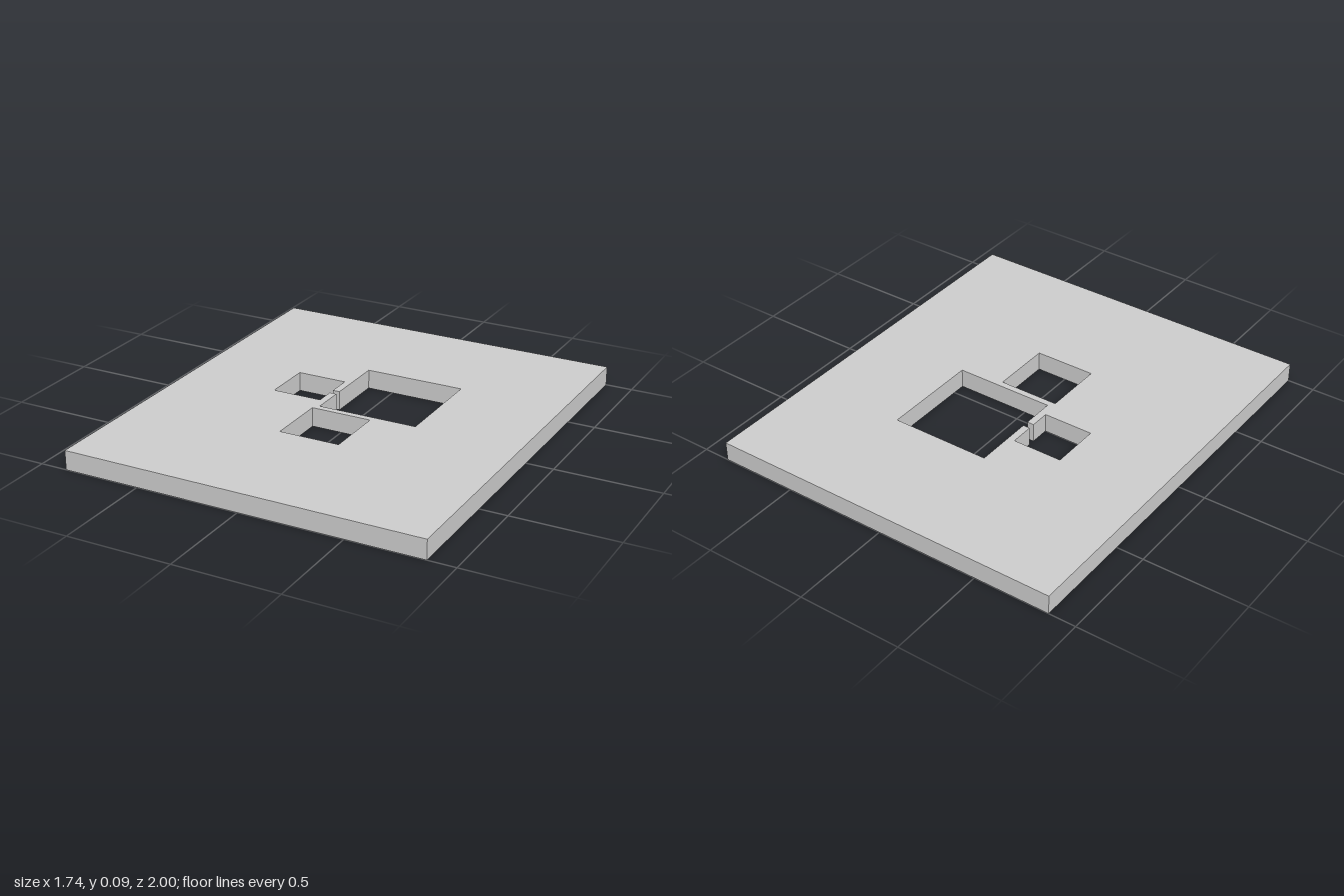
import * as THREE from 'three';

const HEIGHT = 0.093;

// Corners are given as [x, z] on the ground plane
const toPoints = (corners) => corners.map(([x, z]) => new THREE.Vector2(x, -z));
const rect = (x0, z0, x1, z1) => [[x0, z0], [x1, z0], [x1, z1], [x0, z1]];

export function createModel() {
  const group = new THREE.Group();
  group.name = 'perforatedSlab';

  // Outline runs counter-clockwise so the opening walls face into the openings
  const outline = new THREE.Shape(toPoints(rect(-0.87, 1, 0.87, -1)));

  // Large and small square openings joined by a narrow slot
  const joinedOpenings = [
    [-0.127, -0.424], [0.36, -0.424], [0.36, 0.063], [-0.127, 0.063],
    [-0.127, -0.096], [-0.161, -0.096], [-0.161, -0.001], [-0.405, -0.001],
    [-0.405, -0.243], [-0.161, -0.243], [-0.161, -0.127], [-0.127, -0.127],
  ];
  // Separate medium square opening
  const frontOpening = rect(-0.148, 0.094, 0.148, 0.391);

  for (const hole of [joinedOpenings, frontOpening]) {
    outline.holes.push(new THREE.Path(toPoints(hole)));
  }

  // Slab with through openings, laid flat
  const geometry = new THREE.ExtrudeGeometry(outline, { depth: HEIGHT, bevelEnabled: false });
  geometry.rotateX(-Math.PI / 2);

  const slab = new THREE.Mesh(geometry, new THREE.MeshStandardMaterial({ color: 0xcccccc }));
  slab.name = 'slab';
  group.add(slab);
  return group;
}
